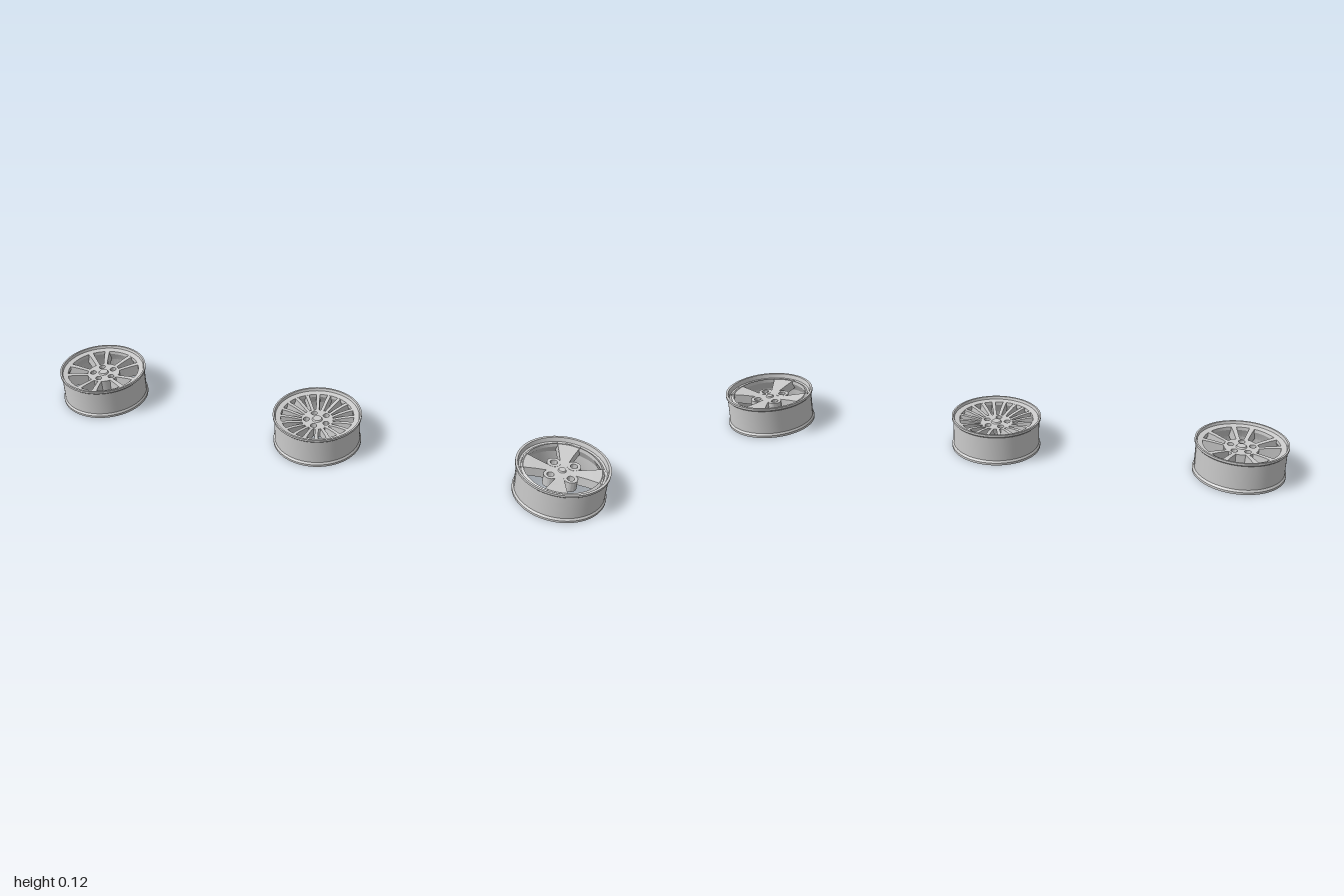
import * as THREE from 'three';
import { toCreasedNormals } from 'three/addons/utils/BufferGeometryUtils.js';

const material = new THREE.MeshStandardMaterial({ color: 0xcccccc });

function addMesh(parent, geometry, name) {
  const mesh = new THREE.Mesh(geometry, material);
  mesh.name = name;
  parent.add(mesh);
  return mesh;
}

// Barrel with a flange at each end; the inner lip carries the spokes
function rimGeometry(lip) {
  const outer = [[0.147, 0], [0.155, 0], [0.155, 0.008], [0.15, 0.015],
    [0.15, 0.102], [0.155, 0.107], [0.155, 0.115]];
  const inner = [[0.142, 0.06], [0.144, 0.015], [0.147, 0]];
  const points = [...outer, ...lip, ...inner].map(([r, y]) => new THREE.Vector2(r, y));
  return toCreasedNormals(new THREE.LatheGeometry(points, 72), 0.4);
}

// Spoke swept outward along +z through sections [radius, half width, bottom, top]
function spokeGeometry(sections, bevel = 0.85) {
  const n = sections.length - 1;
  const geometry = new THREE.BoxGeometry(1, 1, 1, 1, 1, n);
  const p = geometry.attributes.position;
  for (let i = 0; i < p.count; i++) {
    const [r, half, bottom, top] = sections[Math.round((p.getZ(i) + 0.5) * n)];
    const up = p.getY(i) > 0;
    p.setXYZ(i, Math.sign(p.getX(i)) * half * (up ? bevel : 1), up ? top : bottom, r);
  }
  return toCreasedNormals(geometry, 0.5);
}

function circlePath(Kind, x, y, r) {
  const path = new Kind();
  path.absarc(x, y, r, 0, Math.PI * 2, false);
  return path;
}

// Flat plate with holes, standing between two heights
function plateGeometry(shape, bottom, top) {
  const geometry = new THREE.ExtrudeGeometry(shape, {
    depth: top - bottom, bevelEnabled: false, curveSegments: 20,
  });
  geometry.rotateX(-Math.PI / 2).translate(0, bottom, 0);
  return toCreasedNormals(geometry, 0.5);
}

// Round hub with evenly spaced bolt holes, one of them facing the front
function addRoundHub(wheel, radius, bottom, top) {
  const shape = circlePath(THREE.Shape, 0, 0, radius);
  for (let i = 0; i < 5; i++) {
    const a = -Math.PI / 2 + (i * Math.PI * 2) / 5;
    shape.holes.push(circlePath(THREE.Path, 0.038 * Math.cos(a), 0.038 * Math.sin(a), 0.011));
  }
  addMesh(wheel, plateGeometry(shape, bottom, top), 'hub');
  addCap(wheel, 0.019, top);
}

function addCap(wheel, radius, y) {
  const cap = new THREE.CylinderGeometry(radius * 0.8, radius, 0.006, 24);
  addMesh(wheel, cap, 'centreCap').position.y = y + 0.002;
}

function addSpokes(wheel, geometry, angles) {
  const spokes = new THREE.Group();
  spokes.name = 'spokes';
  for (const angle of angles) addMesh(spokes, geometry, 'spoke').rotation.y = angle;
  wheel.add(spokes);
}

const turns = (count) => Array.from({ length: count }, (_, i) => (i * Math.PI * 2) / count);
const wideLip = [[0.149, 0.115], [0.146, 0.106], [0.128, 0.103], [0.127, 0.092]];

// Five pairs of deep narrow spokes
function pairedSpokeWheel() {
  const wheel = new THREE.Group();
  wheel.name = 'pairedSpokeWheel';
  addMesh(wheel, rimGeometry(wideLip), 'rim');
  addRoundHub(wheel, 0.058, 0.05, 0.094);
  const spoke = spokeGeometry([
    [0.05, 0.0075, 0.052, 0.093], [0.075, 0.008, 0.054, 0.097],
    [0.105, 0.009, 0.058, 0.101], [0.141, 0.011, 0.064, 0.104],
  ]);
  addSpokes(wheel, spoke, turns(5).flatMap((a) => [a - 0.24, a + 0.24]));
  return wheel;
}

// Twenty thin spokes dropping towards a sunken hub
function multiSpokeWheel() {
  const wheel = new THREE.Group();
  wheel.name = 'multiSpokeWheel';
  addMesh(wheel, rimGeometry(wideLip), 'rim');
  addRoundHub(wheel, 0.056, 0.055, 0.088);
  const spoke = spokeGeometry([
    [0.048, 0.006, 0.057, 0.087], [0.075, 0.0065, 0.06, 0.094],
    [0.105, 0.007, 0.066, 0.1], [0.141, 0.0075, 0.075, 0.104],
  ]);
  addSpokes(wheel, spoke, turns(20));
  return wheel;
}

// Four broad flaring spokes with ring-shaped bolt bosses between them
function broadSpokeWheel() {
  const wheel = new THREE.Group();
  wheel.name = 'broadSpokeWheel';
  const steepLip = [[0.147, 0.115], [0.143, 0.1], [0.136, 0.098], [0.128, 0.103], [0.127, 0.09]];
  addMesh(wheel, rimGeometry(steepLip), 'rim');
  addMesh(wheel, plateGeometry(circlePath(THREE.Shape, 0, 0, 0.03), 0.055, 0.091), 'hub');
  addCap(wheel, 0.014, 0.091);
  for (const angle of turns(4)) {
    const boss = circlePath(THREE.Shape, 0.033, 0.033, 0.023);
    boss.holes.push(circlePath(THREE.Path, 0.033, 0.033, 0.012));
    addMesh(wheel, plateGeometry(boss, 0.055, 0.092), 'boltBoss').rotation.y = angle;
  }
  const spoke = spokeGeometry([
    [0.012, 0.012, 0.058, 0.09], [0.05, 0.016, 0.058, 0.092],
    [0.085, 0.026, 0.064, 0.097], [0.134, 0.042, 0.072, 0.102],
  ], 0.95);
  addSpokes(wheel, spoke, turns(4));
  return wheel;
}

export function createModel() {
  const group = new THREE.Group();
  group.name = 'wheelRims';
  const wheels = [[pairedSpokeWheel(), -0.845], [multiSpokeWheel(), -0.007], [broadSpokeWheel(), 0.845]];
  for (const [wheel, x] of wheels) {
    wheel.position.x = x;
    group.add(wheel);
  }
  return group;
}
